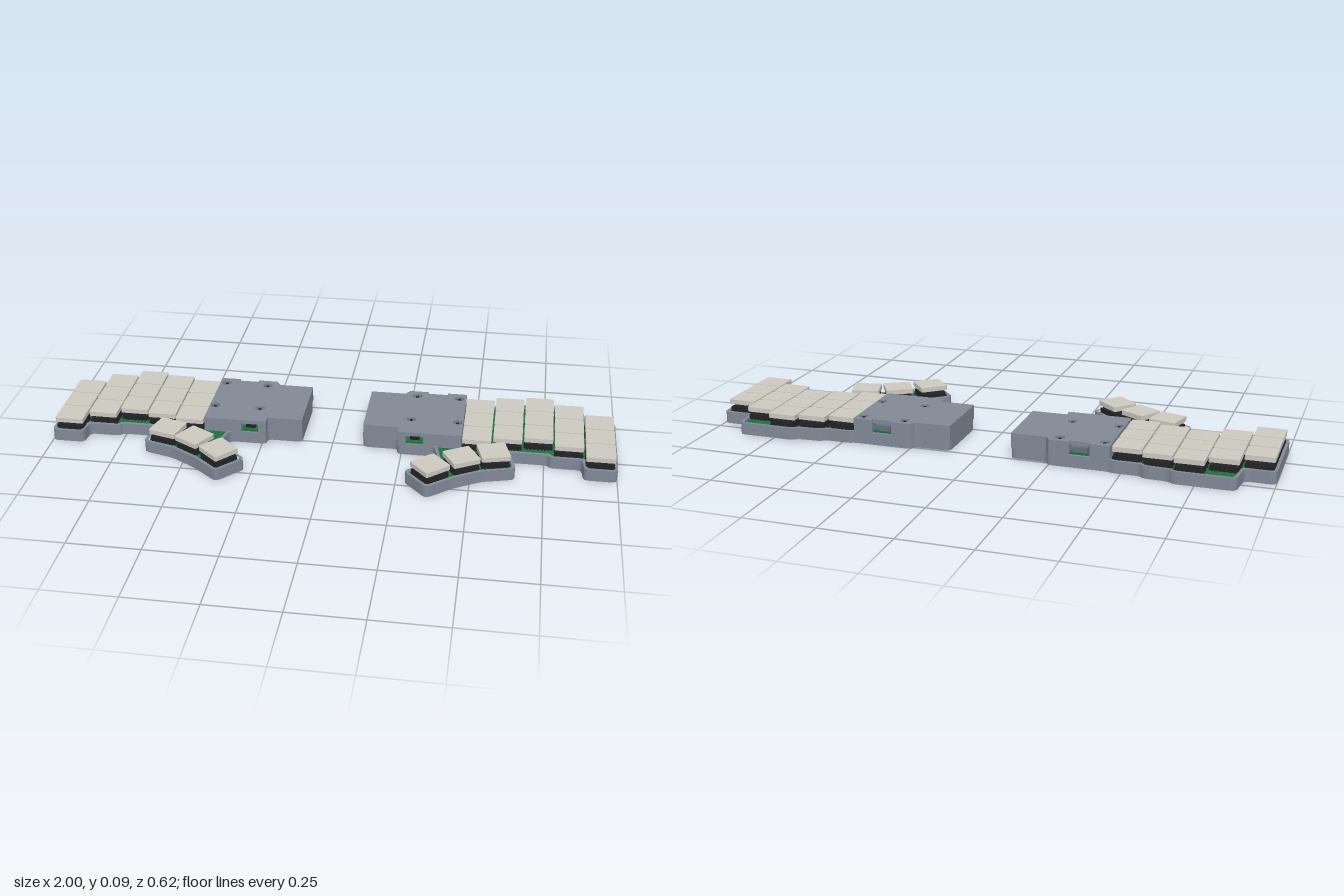
import * as THREE from 'three';
import { mergeGeometries } from 'three/addons/utils/BufferGeometryUtils.js';

const mat = (name, color) => {
  const m = new THREE.MeshStandardMaterial({ color });
  m.name = name;
  return m;
};

// Footprint of one half as [x, z], for the +x side
const OUTLINE = [
  [0.11, -0.243], [0.235, -0.243], [0.25, -0.267], [0.46, -0.267], [0.47, -0.275],
  [0.565, -0.275], [0.578, -0.29], [0.662, -0.294], [0.68, -0.31], [0.885, -0.31],
  [0.895, -0.213], [1, -0.213], [1, 0.125], [0.885, 0.125], [0.88, 0.062],
  [0.77, 0.062], [0.762, 0.046], [0.632, 0.046], [0.655, 0.156], [0.542, 0.187],
  [0.453, 0.24], [0.36, 0.317], [0.275, 0.224], [0.362, 0.148], [0.388, 0.14],
  [0.366, 0.042], [0.235, 0.042], [0.235, 0.01], [0.11, 0.01],
];
// Middle of each three-key column: [x, z]
const COLUMNS = [[0.94, -0.04], [0.833, -0.1], [0.727, -0.141], [0.62, -0.123], [0.513, -0.1]];
// Thumb keys: [x, z, degrees]
const THUMBS = [[0.575, 0.11, 15], [0.468, 0.158, 30], [0.366, 0.228, 42]];
const LID_SCREWS = [[0.435, -0.232], [0.28, -0.232], [0.44, -0.055], [0.275, -0.055]];
const BASE_SCREWS = [[0.28, -0.225], [0.275, -0.05], [0.4, 0.17], [0.57, 0], [0.54, -0.235],
  [0.72, -0.245], [0.88, 0.03]];

// Move a polygon inward by d (mitred)
function inset(pts, d) {
  const n = pts.length;
  const normal = (a, b) => {
    const l = Math.hypot(b[0] - a[0], b[1] - a[1]);
    return [-(b[1] - a[1]) / l, (b[0] - a[0]) / l];
  };
  return pts.map((p, i) => {
    const a = normal(pts[(i + n - 1) % n], p), b = normal(p, pts[(i + 1) % n]);
    const k = d / (1 + a[0] * b[0] + a[1] * b[1]);
    return [p[0] + k * (a[0] + b[0]), p[1] + k * (a[1] + b[1])];
  });
}

// Draw a closed polygon with softened corners
function trace(path, pts, r, s) {
  const n = pts.length;
  const toward = (a, b) => {
    const l = Math.hypot(b[0] - a[0], b[1] - a[1]), k = Math.min(r, l * 0.45) / l;
    return [s * (a[0] + (b[0] - a[0]) * k), a[1] + (b[1] - a[1]) * k];
  };
  pts.forEach((p, i) => {
    const a = toward(p, pts[(i + n - 1) % n]), b = toward(p, pts[(i + 1) % n]);
    if (i) path.lineTo(...a); else path.moveTo(...a);
    path.quadraticCurveTo(s * p[0], p[1], ...b);
  });
  path.closePath();
  return path;
}

// Flat slab between two heights from a footprint shape
function slab(shape, y0, y1) {
  const g = new THREE.ExtrudeGeometry(shape, { depth: y1 - y0, bevelEnabled: false, curveSegments: 4 });
  return g.rotateX(Math.PI / 2).translate(0, y1, 0);
}

function circleHole(shape, x, z, r) {
  const p = new THREE.Path();
  p.absarc(x, z, r, 0, Math.PI * 2);
  shape.holes.push(p);
}

const rect = (w, d) => [[-w / 2, -d / 2], [w / 2, -d / 2], [w / 2, d / 2], [-w / 2, d / 2]];

export function createModel() {
  const casing = mat('case grey', 0x828996);
  const cap = mat('keycap ivory', 0xcbc9c0);
  const board = mat('board green', 0x1f7040);
  const black = mat('switch black', 0x222224);
  const steel = mat('screw steel', 0x6a6f78);

  const model = new THREE.Group();
  const add = (parent, name, geo, material, x = 0, y = 0, z = 0) => {
    const m = new THREE.Mesh(geo, material);
    m.name = name;
    m.position.set(x, y, z);
    parent.add(m);
    return m;
  };

  // Shared key parts
  const capGeo = slab(trace(new THREE.Shape(), rect(0.101, 0.097), 0.006, 1), 0.066, 0.083);
  const switchParts = [
    new THREE.BoxGeometry(0.092, 0.012, 0.088).translate(0, 0.049, 0),
    new THREE.BoxGeometry(0.082, 0.012, 0.08).translate(0, 0.039, 0),
    new THREE.BoxGeometry(0.014, 0.014, 0.008).translate(0, 0.061, 0),
  ];
  // Small teeth around the switch base
  for (let i = -3; i <= 3; i++) {
    switchParts.push(new THREE.BoxGeometry(0.1, 0.008, 0.006).translate(0, 0.041, i * 0.0125));
    switchParts.push(new THREE.BoxGeometry(0.006, 0.008, 0.096).translate(i * 0.0125, 0.041, 0));
  }
  const switchGeo = mergeGeometries(switchParts);

  for (const s of [1, -1]) {
    const half = new THREE.Group();
    half.name = s > 0 ? 'leftHalf' : 'rightHalf';
    model.add(half);

    // Base floor with screw holes
    const floor = trace(new THREE.Shape(), OUTLINE, 0.02, s);
    BASE_SCREWS.forEach(([x, z]) => circleHole(floor, s * x, z, 0.017));
    add(half, 'baseFloor', slab(floor, 0, 0.014), casing);
    BASE_SCREWS.forEach(([x, z]) =>
      add(half, 'baseScrew', new THREE.CylinderGeometry(0.013, 0.013, 0.012, 16), steel, s * x, 0.012, z));

    // Raised rim around the board
    const rim = trace(new THREE.Shape(), OUTLINE, 0.02, s);
    rim.holes.push(trace(new THREE.Path(), inset(OUTLINE, 0.011), 0.012, s));
    add(half, 'baseRim', slab(rim, 0.014, 0.043), casing);

    // Circuit board
    const pcb = trace(new THREE.Shape(), inset(OUTLINE, 0.013), 0.012, s);
    add(half, 'circuitBoard', slab(pcb, 0.026, 0.036), board);

    // Controller cover: lower layer has the two port notches, upper layer closes it
    const front = [[0.11, 0.01], [0.11, -0.243], [0.235, -0.243], [0.25, -0.267]];
    const usb = [[0.32, -0.267], [0.32, -0.22], [0.39, -0.22], [0.39, -0.267]];
    const jack = [[0.325, 0.042], [0.325, 0], [0.265, 0], [0.265, 0.042]];
    const back = [[0.46, -0.267], [0.46, 0.042]], end = [[0.235, 0.042], [0.235, 0.01]];
    const lower = trace(new THREE.Shape(), [...front, ...usb, ...back, ...jack, ...end], 0.004, s);
    add(half, 'coverWalls', slab(lower, 0.038, 0.076), casing);
    const lip = [[0.32, -0.267], [0.32, -0.255], [0.39, -0.255], [0.39, -0.267]];
    const upper = trace(new THREE.Shape(), [...front, ...lip, ...back, ...end], 0.004, s);
    LID_SCREWS.forEach(([x, z]) => circleHole(upper, s * x, z, 0.018));
    add(half, 'coverTop', slab(upper, 0.076, 0.09), casing);
    LID_SCREWS.forEach(([x, z]) => {
      add(half, 'coverScrew', new THREE.CylinderGeometry(0.014, 0.014, 0.01, 16), steel, s * x, 0.081, z);
      add(half, 'screwSocket', new THREE.CylinderGeometry(0.006, 0.006, 0.002, 6), black, s * x, 0.0865, z);
    });

    // Ports inside the notches
    add(half, 'usbBoard', new THREE.BoxGeometry(0.07, 0.008, 0.034), board, s * 0.355, 0.046, -0.237);
    add(half, 'usbPort', new THREE.BoxGeometry(0.05, 0.018, 0.03), steel, s * 0.355, 0.059, -0.237);
    add(half, 'jackBoard', new THREE.BoxGeometry(0.06, 0.008, 0.034), board, s * 0.295, 0.046, 0.018);
    add(half, 'jackPort', new THREE.BoxGeometry(0.034, 0.02, 0.022), black, s * 0.295, 0.06, 0.011);

    // Keys
    const key = (name, x, z, angle) => {
      const g = new THREE.Group();
      g.name = name;
      g.position.set(s * x, 0, z);
      g.rotation.y = s * THREE.MathUtils.degToRad(angle);
      add(g, 'keycap', capGeo, cap);
      add(g, 'switch', switchGeo, black);
      half.add(g);
    };
    COLUMNS.forEach(([x, z]) => {
      for (let r = -1; r <= 1; r++) key('fingerKey', x, z + r * 0.1013, 0);
    });
    THUMBS.forEach(([x, z, a]) => key('thumbKey', x, z, a));
  }
  return model;
}
